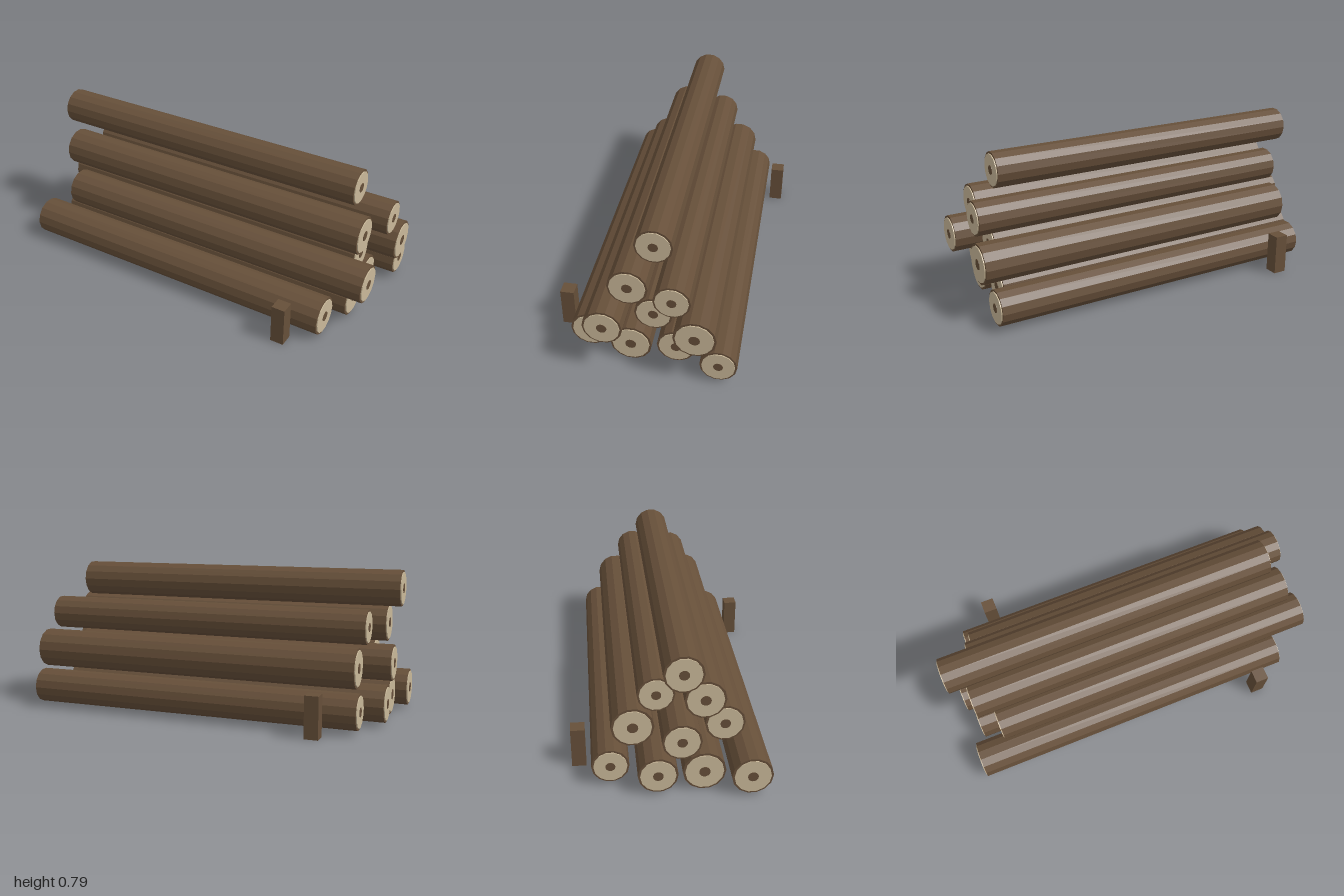
import * as THREE from 'three';

const bark = new THREE.MeshStandardMaterial({ color: 0x664f39, flatShading: true });
bark.name = 'bark brown';
const wood = new THREE.MeshStandardMaterial({ color: 0xc9b899, flatShading: true });
wood.name = 'cut wood';

const LENGTH = 1.81;
const SIDES = 14;

// Each log: x offset, height, z, radius
const LOGS = [
  // bottom row
  [-0.09, 0.11, 0.338, 0.101],
  [-0.03, 0.11, 0.113, 0.106],
  [-0.045, 0.11, -0.113, 0.098],
  [0.05, 0.11, -0.338, 0.093],
  // second row
  [0.08, 0.306, 0.225, 0.099],
  [-0.055, 0.306, 0, 0.096],
  [0.085, 0.306, -0.225, 0.106],
  // third row
  [-0.005, 0.502, 0.113, 0.1],
  [0.06, 0.502, -0.113, 0.091],
  // top
  [-0.09, 0.698, 0, 0.095],
];

// Cylinder lying along x
function rod(name, radius, length, material, x = 0) {
  const geometry = new THREE.CylinderGeometry(radius, radius, length, SIDES);
  geometry.rotateZ(Math.PI / 2);
  const mesh = new THREE.Mesh(geometry, material);
  mesh.name = name;
  mesh.position.x = x;
  return mesh;
}

function createLog([x, y, z, r]) {
  const log = new THREE.Group();
  log.name = 'log';
  log.add(rod('barkTrunk', r, LENGTH, bark));
  // Pale cut face and dark heartwood at both ends
  for (const side of [-1, 1]) {
    log.add(rod('cutFace', r * 0.89, 0.008, wood, side * (LENGTH / 2 + 0.001)));
    log.add(rod('heartwood', r * 0.26, 0.008, bark, side * (LENGTH / 2 + 0.003)));
  }
  log.position.set(x, y, z);
  return log;
}

export function createModel() {
  const model = new THREE.Group();
  model.name = 'logPile';
  for (const spec of LOGS) model.add(createLog(spec));

  // Upright stakes at opposite corners
  for (const [x, z] of [[0.647, 0.492], [-0.66, -0.492]]) {
    const stake = new THREE.Mesh(new THREE.BoxGeometry(0.072, 0.217, 0.072), bark);
    stake.name = 'stake';
    stake.position.set(x, 0.1085, z);
    model.add(stake);
  }
  return model;
}
